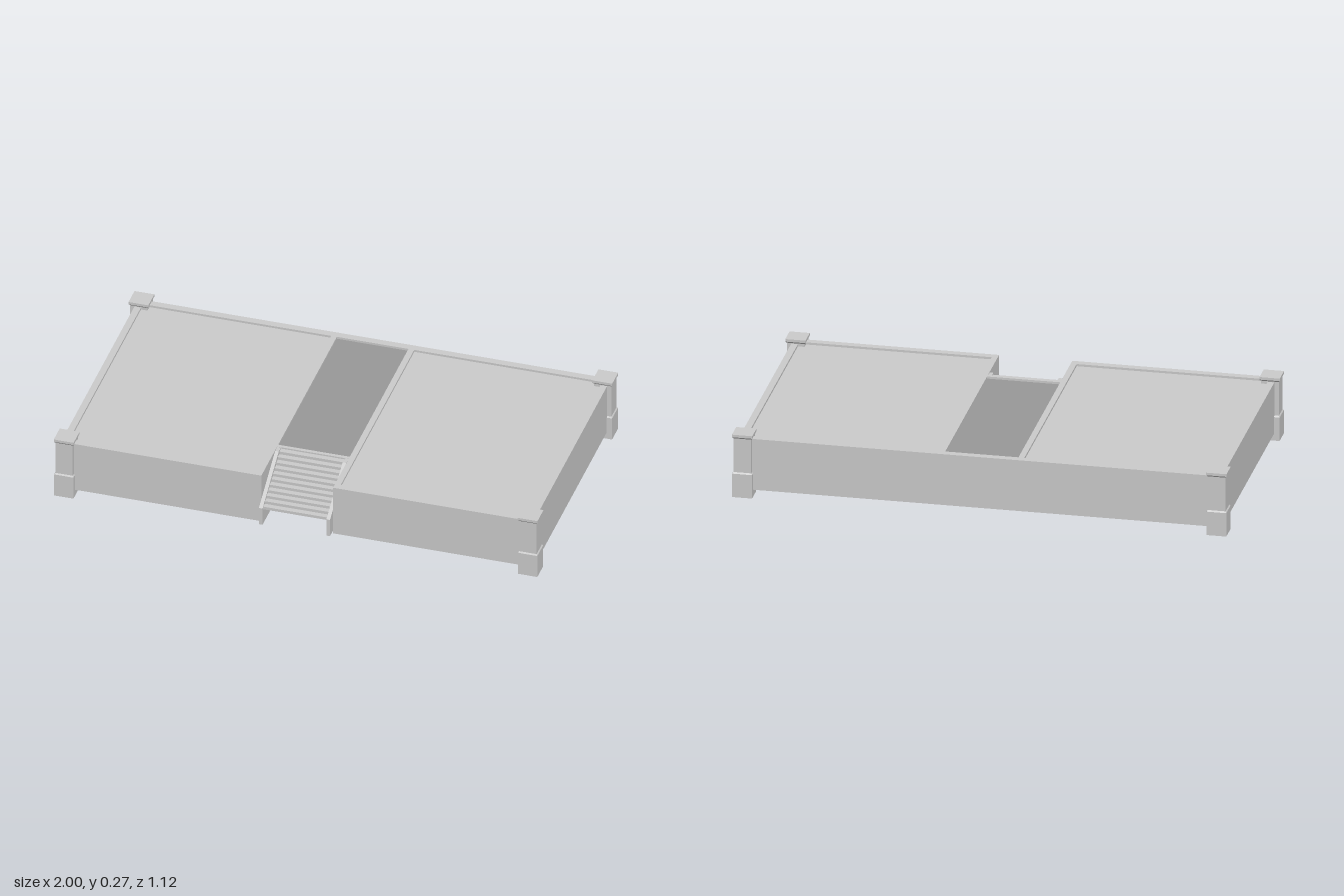
import * as THREE from 'three';

const grey = new THREE.MeshStandardMaterial({ color: 0xcccccc, flatShading: true, side: THREE.DoubleSide });
const dark = new THREE.MeshStandardMaterial({ color: 0x999999, flatShading: true, side: THREE.DoubleSide });

const TOP = 0.247, SUNK = 0.238, BOTTOM = 0.03;
const rect = (x0, x1, z0, z1) => [[x0, z1], [x1, z1], [x1, z0], [x0, z0]];

function add(group, name, geometry, material = grey) {
  const mesh = new THREE.Mesh(geometry, material);
  mesh.name = name;
  group.add(mesh);
  return mesh;
}

// Horizontal sheet facing up, from an [x, z] outline and optional holes
function sheet(outline, y, holes = []) {
  const toPts = (o) => o.map(([x, z]) => new THREE.Vector2(x, -z));
  const shape = new THREE.Shape(toPts(outline));
  shape.holes = holes.map((h) => new THREE.Path(toPts(h)));
  return new THREE.ShapeGeometry(shape).rotateX(-Math.PI / 2).translate(0, y, 0);
}

// Vertical wall following a closed [x, z] outline
function wall(outline, y0, y1) {
  const pos = [];
  outline.forEach(([ax, az], i) => {
    const [bx, bz] = outline[(i + 1) % outline.length];
    pos.push(ax, y0, az, bx, y0, bz, bx, y1, bz, ax, y0, az, bx, y1, bz, ax, y1, az);
  });
  const g = new THREE.BufferGeometry();
  g.setAttribute('position', new THREE.Float32BufferAttribute(pos, 3));
  g.computeVertexNormals();
  return g;
}

// Side profile of [z, y] points extruded along x, centred on x
function sideExtrude(profile, width, x) {
  const shape = new THREE.Shape(profile.map(([z, y]) => new THREE.Vector2(-z, y)));
  return new THREE.ExtrudeGeometry(shape, { depth: width, bevelEnabled: false })
    .translate(0, 0, -width / 2).rotateY(Math.PI / 2).translate(x, 0, 0);
}

export function createModel() {
  const model = new THREE.Group();
  model.name = 'stagePlatform';

  // Hollow platform with a notch for the stairs
  const n = 0.148, notchZ = 0.305, back = -0.54, front = 0.52, side = 0.977;
  const outline = [
    [-side, front], [-n, front], [-n, notchZ], [n, notchZ],
    [n, front], [side, front], [side, back], [-side, back],
  ];
  const carpet = rect(-n, n, -0.51, 0.29);
  const panels = [rect(-0.95, -0.172, -0.51, 0.49), rect(0.172, 0.95, -0.51, 0.49)];
  add(model, 'outerWalls', wall(outline, BOTTOM, TOP));
  add(model, 'deckRim', sheet(outline, TOP, [carpet, ...panels]));

  // Sunken floor panels and the darker central aisle
  for (const p of panels) {
    add(model, 'floorPanel', sheet(p, SUNK));
    add(model, 'floorPanelEdge', wall(p, SUNK, TOP));
  }
  add(model, 'aisle', sheet(carpet, SUNK), dark);
  add(model, 'aisleEdge', wall(carpet, SUNK, TOP));

  // Corner posts: plinth, slimmer shaft and cap, open underneath
  const postProfile = [
    [0.04, 0], [0.04, 0.1], [0.036, 0.106], [0.036, 0.25],
    [0.041, 0.256], [0.041, 0.267], [0, 0.267],
  ].map(([r, y]) => new THREE.Vector2(r * Math.SQRT2, y));
  for (const x of [-0.959, 0.959]) {
    for (const z of [-0.52, 0.5]) {
      const g = new THREE.LatheGeometry(postProfile, 4).rotateY(Math.PI / 4);
      add(model, 'cornerPost', g).position.set(x, 0, z);
    }
  }

  // Stairs: stepped flight with a sloping underside
  const stairs = new THREE.Group();
  stairs.name = 'stairs';
  model.add(stairs);
  const steps = 11, z0 = notchZ, z1 = 0.548, y0 = 0.108, y1 = 0.241;
  const run = (z1 - z0) / steps, rise = (y1 - y0) / steps;
  const flight = [[z0, y1 - rise]];
  for (let i = 0; i < steps; i++) {
    flight.push([z0 + i * run, y1 - i * rise], [z0 + (i + 1) * run, y1 - i * rise]);
  }
  flight.push([z1, y0]);
  add(stairs, 'steps', sideExtrude(flight, 0.264, 0));

  // Side boards of the stairs
  const board = [[z0, 0.04], [0.557, 0.04], [0.557, 0.117], [0.335, 0.246], [z0, 0.246]];
  for (const s of [-1, 1]) add(stairs, 'sideBoard', sideExtrude(board, 0.015, s * 0.1395));

  return model;
}
